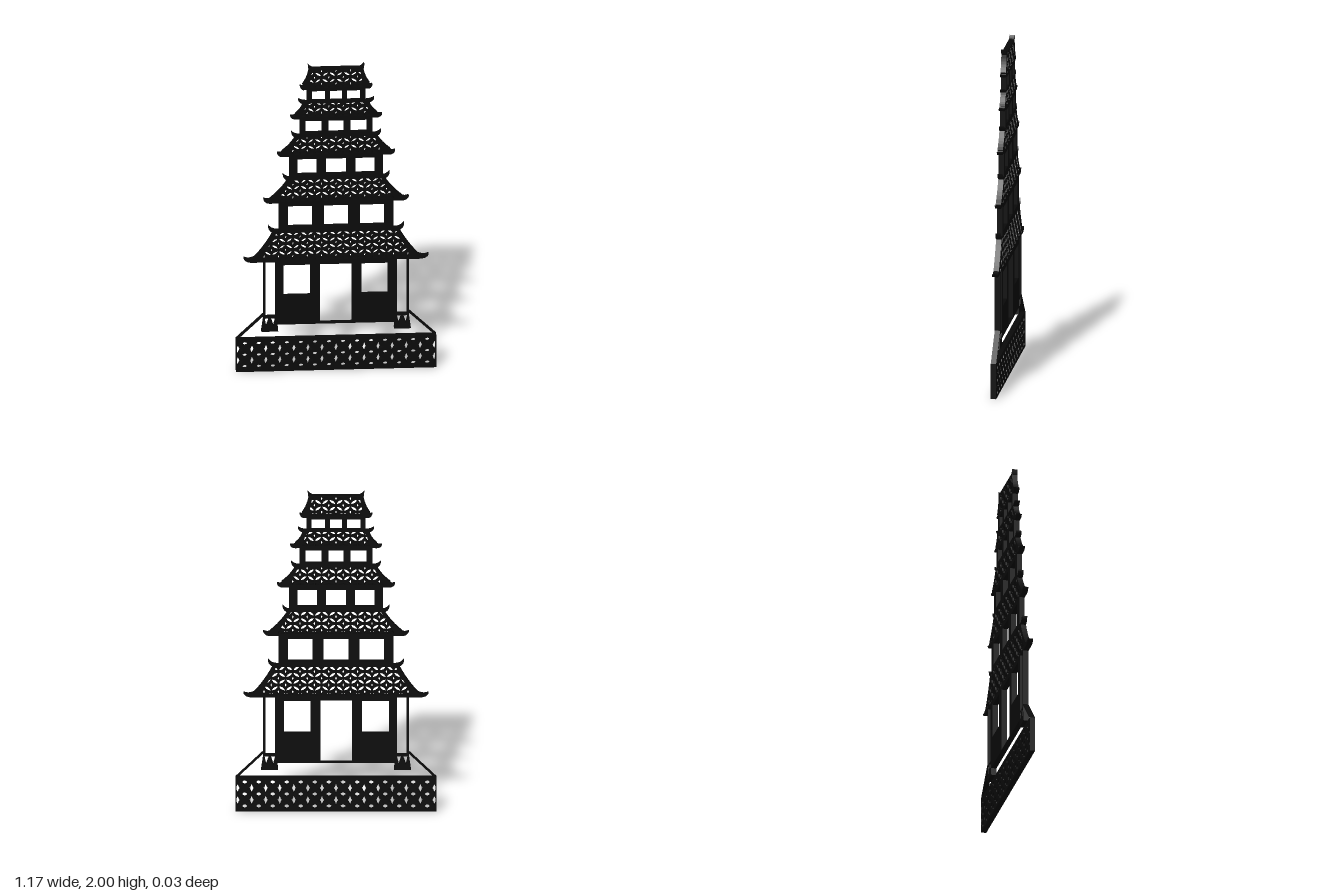
import * as THREE from 'three';

const DEPTH = 0.032;
const material = new THREE.MeshStandardMaterial({ color: 0x0a0a0a });
const V = (x, y) => new THREE.Vector2(x, y);
const rect = (x0, y0, x1, y1) => [V(x0, y0), V(x1, y0), V(x1, y1), V(x0, y1)];

// Cut a flat plate from an outline and a list of hole outlines
function plate(name, outline, holes = []) {
  const shape = new THREE.Shape(outline);
  shape.holes = holes.map((h) => new THREE.Path(h));
  const geo = new THREE.ExtrudeGeometry(shape, { depth: DEPTH, bevelEnabled: false });
  geo.translate(0, 0, -DEPTH / 2);
  const mesh = new THREE.Mesh(geo, material);
  mesh.name = name;
  return mesh;
}

// Thin straight strip between two points
function strip(name, a, b, w) {
  const n = V(a.y - b.y, b.x - a.x).normalize().multiplyScalar(w / 2);
  return plate(name, [a.clone().sub(n), b.clone().sub(n), b.clone().add(n), a.clone().add(n)]);
}

// Trim a hole to a convex counter-clockwise region
function clip(poly, region) {
  region.forEach((a, i) => {
    const b = region[(i + 1) % region.length];
    const side = (p) => (b.x - a.x) * (p.y - a.y) - (b.y - a.y) * (p.x - a.x);
    const out = [];
    poly.forEach((p, k) => {
      const q = poly[(k + 1) % poly.length], sp = side(p), sq = side(q);
      if (sp >= 0) out.push(p);
      if (sp * sq < 0) out.push(p.clone().lerp(q, sp / (sp - sq)));
    });
    poly = out;
  });
  return poly;
}
const trim = (holes, region) => holes.map((h) => clip(h, region))
  .filter((h) => h.length > 2 && Math.abs(THREE.ShapeUtils.area(h)) > 2e-5);

// Ring of points whose radius alternates between r and r2
function ring(x, y, n, r, r2 = r) {
  return Array.from({ length: n }, (_, i) => {
    const a = (i / n) * Math.PI * 2, d = i % 2 ? r2 : r;
    return V(x + d * Math.cos(a), y + d * Math.sin(a));
  });
}

// Pointed leaf centred on x, y and turned by angle
function petal(x, y, length, width, angle) {
  const pts = [], n = 6;
  for (let i = 0; i < 2 * n; i++) {
    const t = i < n ? i / n : 2 - i / n;
    const s = i < n ? -1 : 1;
    pts.push(V((t - 0.5) * length, s * width * 2 * t * (1 - t))
      .rotateAround(V(0, 0), angle).add(V(x, y)));
  }
  return pts;
}

// Diagonal petals around small stars
function roofPattern(region, y0) {
  const p = 0.084, holes = [];
  for (let i = -14; i <= 14; i++) {
    for (let j = -1; j <= 7; j++) {
      const x = i * p / 2, y = y0 + j * p / 2;
      if ((i + j) % 2 === 0) holes.push(ring(x, y, 8, 0.016, 0.0075));
      const angle = (i + j) % 2 === 0 ? -Math.PI / 4 : Math.PI / 4;
      holes.push(petal(x + p / 4, y + p / 4, 0.054, 0.0235, angle));
    }
  }
  return trim(holes, region);
}

// Sloped roof with curled eaves and ridge horns
function roof([y0, y1, wb, wt, eaveX, eaveY, hornX, hornY]) {
  const path = new THREE.Path();
  path.moveTo(wb, y0);
  path.quadraticCurveTo(eaveX - 0.01, y0 - 0.005, eaveX, eaveY);
  path.quadraticCurveTo(eaveX - 0.03, y0 + 0.012, wb + 0.012, y0 + 0.03);
  path.quadraticCurveTo((wb + wt) / 2, (y0 + y1) / 2, wt + 0.008, y1 - 0.012);
  path.quadraticCurveTo(hornX - 0.002, y1 - 0.002, hornX, hornY);
  path.quadraticCurveTo(hornX - 0.016, y1 + 0.002, wt - 0.012, y1);
  const right = path.getPoints(6);
  const left = right.map((q) => V(-q.x, q.y)).reverse();
  const b = wb - 0.025, t = wt - 0.014;
  const region = [V(-b, y0 + 0.013), V(b, y0 + 0.013), V(t, y1 - 0.008), V(-t, y1 - 0.008)];
  return plate('roof', [...right, ...left], roofPattern(region, y0 + 0.03));
}

// Storey wall with three windows
function storey([y0, y1, half, w0, w1, mid, in0, out0]) {
  return plate('storey', rect(-half, y0, half, y1), [
    rect(-mid, w0, mid, w1), rect(in0, w0, out0, w1), rect(-out0, w0, -in0, w1),
  ]);
}

export function createModel() {
  const model = new THREE.Group();
  model.name = 'pagodaPanel';

  // Pierced base
  const holes = [], s = 0.082;
  for (let i = -7; i <= 7; i++) {
    for (let j = 0; j < 3; j++) {
      if (i < 7) holes.push(ring((i + 0.5) * s, 0.03 + j * 0.075, 12, 0.0155));
      if (j < 2) holes.push(ring(i * s, 0.0675 + j * 0.075, 8, 0.031, 0.0125));
    }
  }
  model.add(plate('base', rect(-0.585, 0, 0.585, 0.213),
    trim(holes, rect(-0.579, 0.006, 0.579, 0.207))));

  // Ground floor with door and two windows
  model.add(plate('groundFloor', rect(-0.355, 0.305, 0.355, 0.718), [
    rect(-0.094, 0.309, 0.09, 0.695),
    rect(-0.308, 0.49, -0.152, 0.694), rect(0.149, 0.49, 0.302, 0.694),
  ]));

  // Porch columns, their feet and the slanted terrace edges
  for (const m of [-1, 1]) {
    const at = (x, y) => V(m * x, y);
    model.add(strip('column', at(0.419, 0.35), at(0.419, 0.72), 0.013));
    model.add(strip('columnSill', at(0.345, 0.352), at(0.425, 0.352), 0.007));
    model.add(plate('columnFoot',
      [at(0.338, 0.26), at(0.437, 0.26), at(0.424, 0.355), at(0.346, 0.355)],
      [[at(0.353, 0.346), at(0.383, 0.346), at(0.366, 0.292)],
        [at(0.389, 0.346), at(0.419, 0.346), at(0.408, 0.292)]]));
    model.add(strip('terraceEdge', at(0.583, 0.211), at(0.42, 0.372), 0.006));
  }

  // Upper storeys: bottom, top, half width, window bottom and top, window edges
  [
    [0.905, 1.105, 0.335, 0.942, 1.08, 0.072, 0.138, 0.281],
    [1.25, 1.405, 0.275, 1.282, 1.387, 0.058, 0.112, 0.226],
    [1.53, 1.65, 0.212, 1.555, 1.636, 0.045, 0.085, 0.178],
    [1.75, 1.845, 0.172, 1.763, 1.831, 0.036, 0.064, 0.142],
  ].forEach((d) => model.add(storey(d)));

  // Roofs: bottom, top, half widths, eave tip, horn tip
  [
    [0.715, 0.92, 0.465, 0.36, 0.54, 0.742, 0.398, 0.952],
    [1.1, 1.26, 0.37, 0.275, 0.425, 1.127, 0.312, 1.287],
    [1.405, 1.54, 0.305, 0.23, 0.345, 1.427, 0.262, 1.562],
    [1.65, 1.76, 0.225, 0.185, 0.268, 1.668, 0.222, 1.775],
    [1.84, 1.978, 0.185, 0.152, 0.212, 1.862, 0.165, 2.0],
  ].forEach((d) => model.add(roof(d)));

  return model;
}
